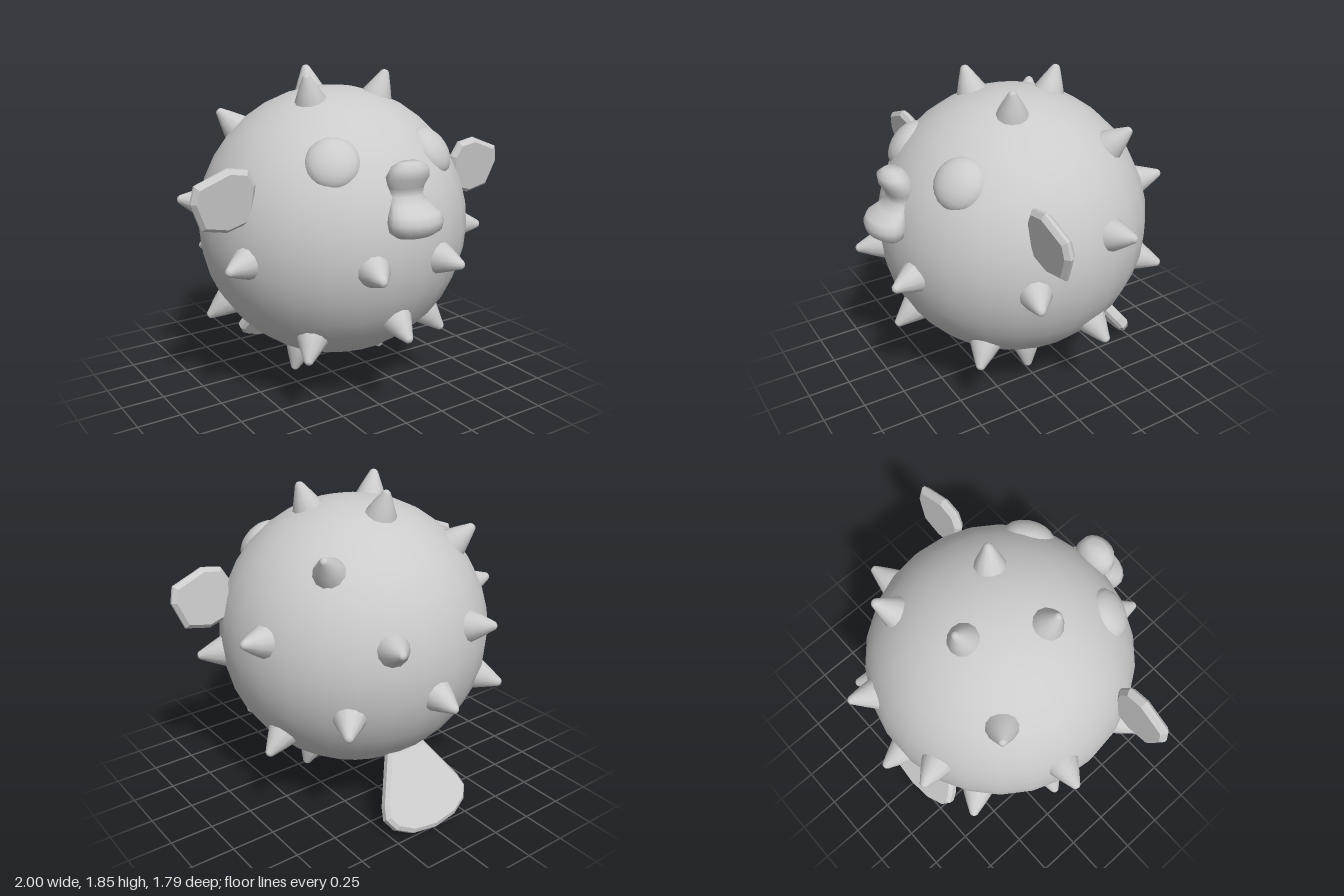
import * as THREE from 'three';

const smooth = new THREE.MeshStandardMaterial({ color: 0xcccccc });
const flat = new THREE.MeshStandardMaterial({ color: 0xcccccc, flatShading: true });
const CENTER = new THREE.Vector3(0, 0.99, 0);
const RADIUS = 0.775;

function add(parent, name, geometry, material) {
  const mesh = new THREE.Mesh(geometry, material);
  mesh.name = name;
  parent.add(mesh);
  return mesh;
}

// Turns a mesh so that its own axis points outward from the body centre
function pointOutward(mesh, axis, x, y, z, distance) {
  const dir = new THREE.Vector3(x, y, z).sub(CENTER).normalize();
  mesh.quaternion.setFromUnitVectors(axis, dir);
  mesh.position.copy(CENTER).addScaledVector(dir, distance);
}

// Bevelled plate with its outline kept and its thickness centred on z = 0
function plate(points, thickness, bevel) {
  const shape = new THREE.Shape(points.map(([x, y]) => new THREE.Vector2(x, y)));
  const geometry = new THREE.ExtrudeGeometry(shape, {
    depth: thickness - 2 * bevel, bevelThickness: bevel, bevelSize: bevel,
    bevelOffset: -bevel, bevelSegments: 1,
  });
  return geometry.translate(0, 0, bevel - thickness / 2);
}

// Lips: stacked ellipses [y, centre z, half width, half depth]
function lipsGeometry() {
  const rings = [
    [1.09, 0.78, 0, 0], [1.09, 0.78, 0.11, 0.06], [1.12, 0.78, 0.152, 0.1],
    [1.165, 0.78, 0.16, 0.11], [1.205, 0.77, 0.148, 0.1], [1.245, 0.73, 0.117, 0.07],
    [1.285, 0.69, 0.098, 0.068], [1.33, 0.69, 0.105, 0.075], [1.38, 0.705, 0.122, 0.088],
    [1.43, 0.72, 0.105, 0.08], [1.458, 0.72, 0.065, 0.045], [1.462, 0.72, 0, 0],
  ];
  const profile = rings.map(([y, , rx]) => new THREE.Vector2(rx, y));
  const geometry = new THREE.LatheGeometry(profile, 18, Math.PI);
  const pos = geometry.attributes.position;
  for (let i = 0; i < pos.count; i++) {
    const [, cz, rx, rz] = rings[i % rings.length];
    pos.setZ(i, cz + (rx ? pos.getZ(i) * rz / rx : 0));
  }
  geometry.computeVertexNormals();
  return geometry;
}

export function createModel() {
  const model = new THREE.Group();
  model.name = 'pufferFish';

  const body = add(model, 'body', new THREE.SphereGeometry(RADIUS, 26, 18), smooth);
  body.position.copy(CENTER);

  // Spikes: tip positions, mirrored where x is not zero
  const spikes = new THREE.Group();
  spikes.name = 'spikes';
  model.add(spikes);
  const spikeGeometry = new THREE.LatheGeometry([
    [0.098, -0.05], [0.09, 0.0], [0.06, 0.065], [0.022, 0.142], [0.012, 0.15], [0, 0.152],
  ].map(([r, y]) => new THREE.Vector2(r, y)), 12);
  const tips = [
    [0.26, 1.85, 0.15], [0, 1.85, -0.29], [0.5, 1.61, -0.43], [0.835, 0.91, 0.33],
    [0.25, 0.905, 0.85], [0, 0.48, 0.79], [0.45, 0.38, 0.47], [0.31, 0.13, 0.07],
    [0.72, 0.475, -0.19], [0.855, 1.18, -0.22], [0.32, 1.2, -0.84], [0, 0.82, -0.89],
    [0.55, 0.73, -0.7],
  ];
  const up = new THREE.Vector3(0, 1, 0);
  for (const [x, y, z] of tips) {
    for (const side of x ? [1, -1] : [1]) {
      const spike = add(spikes, 'spike', spikeGeometry, smooth);
      pointOutward(spike, up, side * x, y, z, 0.76);
    }
  }

  // Eyes: flattened domes
  const forward = new THREE.Vector3(0, 0, 1);
  for (const side of [1, -1]) {
    const eye = add(model, side > 0 ? 'leftEye' : 'rightEye', new THREE.SphereGeometry(0.145, 18, 12), smooth);
    pointOutward(eye, forward, side * 0.325, 1.46, 0.51, 0.735);
    eye.scale.z = 0.6;
  }

  add(model, 'lips', lipsGeometry(), smooth);

  // Side fins: small faceted discs
  const finOutline = [
    [0.18, 0.01], [0.16, 0.1], [-0.02, 0.17], [-0.13, 0.15], [-0.175, 0.07],
    [-0.16, -0.13], [-0.02, -0.17], [0.12, -0.14],
  ];
  for (const side of [1, -1]) {
    const outline = finOutline.map(([x, y]) => [side * x, y]);
    const fin = add(model, side > 0 ? 'leftFin' : 'rightFin', plate(outline, 0.06, 0.022), flat);
    fin.position.set(side * 0.82, 1.27, 0.272);
    fin.rotation.x = 0.12;
  }

  // Tail: fan shaped plate sloping down and back
  const halfTail = [[0.13, 0.02], [0.27, -0.24], [0.29, -0.31], [0.25, -0.38], [0.15, -0.435]];
  const tailOutline = [
    ...halfTail, [0, -0.455], ...halfTail.map(([x, y]) => [-x, y]).reverse(),
  ];
  const tail = add(model, 'tail', plate(tailOutline, 0.075, 0.02), flat);
  tail.position.set(0, 0.388, -0.495);
  tail.rotation.x = 0.63;

  return model;
}
